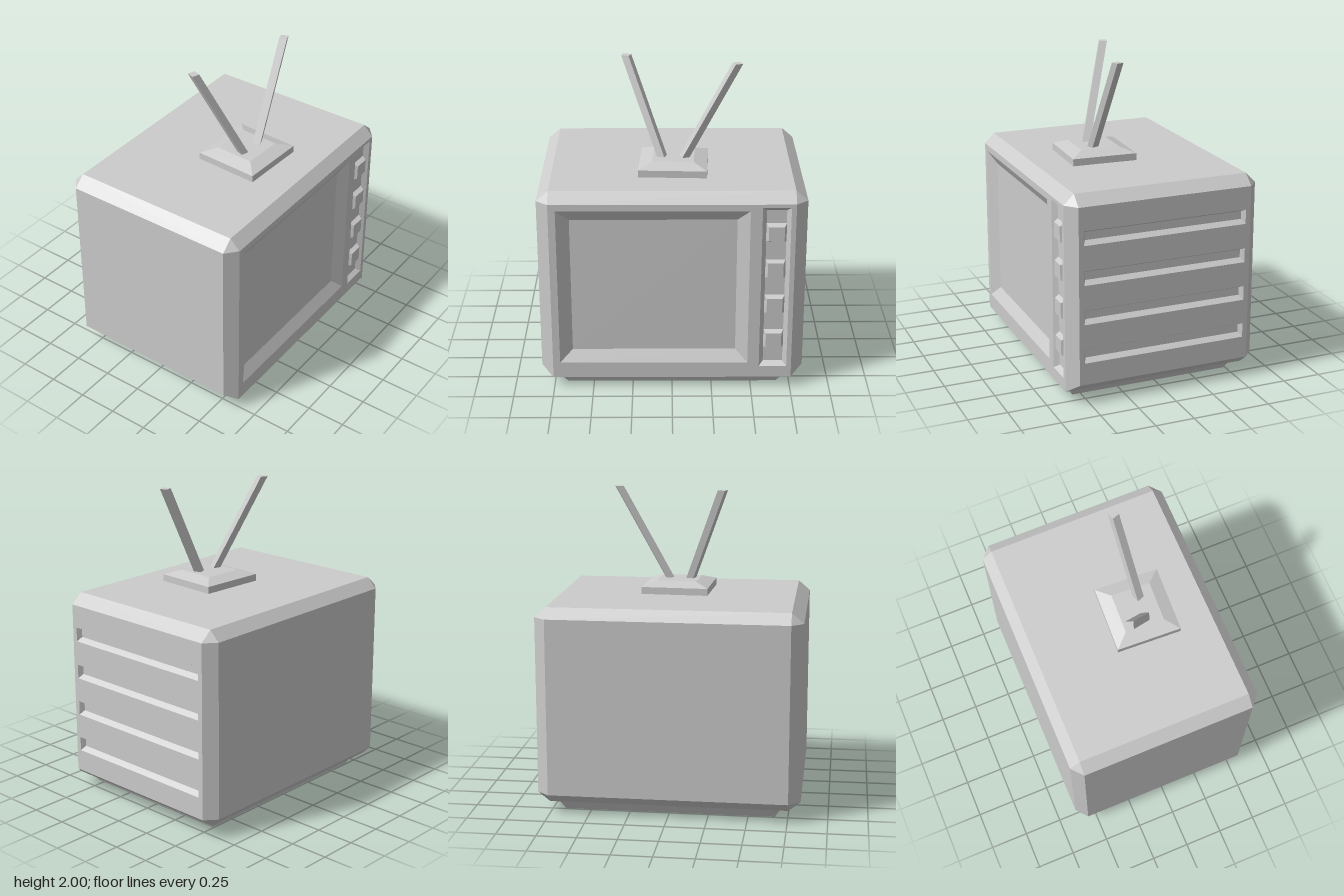
import * as THREE from 'three';
import { ConvexGeometry } from 'three/addons/geometries/ConvexGeometry.js';

const grey = new THREE.MeshStandardMaterial({ color: 0xcccccc, flatShading: true });

function mesh(name, geometry) {
  const m = new THREE.Mesh(geometry, grey);
  m.name = name;
  return m;
}

// Rectangle loop in the xy plane at depth z, counterclockwise seen from +z
function rect(x0, x1, y0, y1, z = 0) {
  return [[x0, y0, z], [x1, y0, z], [x1, y1, z], [x0, y1, z]];
}

// Skin four-cornered loops; the last loop is capped, the first one optionally
function loft(loops, closeStart = false) {
  const pos = [];
  const quad = (a, b, c, d) => pos.push(...a, ...b, ...c, ...a, ...c, ...d);
  for (let k = 0; k < loops.length - 1; k++) {
    const a = loops[k], b = loops[k + 1];
    for (let i = 0; i < 4; i++) {
      const j = (i + 1) % 4;
      quad(a[i], a[j], b[j], b[i]);
    }
  }
  quad(...loops[loops.length - 1]);
  if (closeStart) quad(...[...loops[0]].reverse());
  const g = new THREE.BufferGeometry();
  g.setAttribute('position', new THREE.Float32BufferAttribute(pos, 3));
  g.computeVertexNormals();
  return g;
}

// Flat panel with rectangular openings
function panel(outer, holes) {
  const points = (loop) => loop.map(([x, y]) => new THREE.Vector2(x, y));
  const shape = new THREE.Shape(points(outer));
  for (const h of holes) shape.holes.push(new THREE.Path(points(h).reverse()));
  return new THREE.ShapeGeometry(shape);
}

// Cabinet: chamfered box (front bottom edge left sharp) without its front and right faces
const X = 0.83, XI = 0.755, Y0 = 0.07, Y0I = 0.13, Y1 = 1.325, Y1I = 1.26, Z = 0.63, ZI = 0.565;

function cabinetShell() {
  const pts = [];
  for (const s of [-1, 1]) {
    for (const f of [-1, 1]) {
      pts.push([s * X, Y0I, f * ZI], [s * X, Y1I, f * ZI]);
      pts.push([s * XI, Y1I, f * Z], [s * XI, Y1, f * ZI]);
    }
    pts.push([s * XI, Y0, Z], [s * XI, Y0, -ZI], [s * XI, Y0I, -Z]);
  }
  const p = new ConvexGeometry(pts.map((v) => new THREE.Vector3(...v))).getAttribute('position');
  const kept = [];
  for (let i = 0; i < p.count; i += 3) {
    const tri = [i, i + 1, i + 2];
    if (tri.every((k) => p.getZ(k) > Z - 1e-4) || tri.every((k) => p.getX(k) > X - 1e-4)) continue;
    for (const k of tri) kept.push(p.getX(k), p.getY(k), p.getZ(k));
  }
  const g = new THREE.BufferGeometry();
  g.setAttribute('position', new THREE.Float32BufferAttribute(kept, 3));
  g.computeVertexNormals();
  return g;
}

function createModel() {
  const model = new THREE.Group();
  model.name = 'television';
  model.add(mesh('cabinet', cabinetShell()));

  // Front: panel, sunken screen, control strip and buttons
  const front = new THREE.Group();
  front.name = 'front';
  front.position.z = Z;
  const screen = rect(-0.71, 0.477, 0.175, 1.217);
  const strip = rect(0.55, 0.725, 0.148, 1.238);
  front.add(mesh('frontPanel', panel(rect(-XI, XI, Y0, Y1I), [screen, strip])));
  front.add(mesh('screen', loft([screen, rect(-0.63, 0.4, 0.25, 1.143, -0.045)])));
  front.add(mesh('controlStrip', loft([strip, rect(0.577, 0.7, 0.173, 1.213, -0.03)])));
  for (let i = 0; i < 4; i++) {
    const y = 1.063 - i * 0.243;
    front.add(mesh('button', loft([
      rect(0.575, 0.702, y - 0.062, y + 0.062, -0.03),
      rect(0.59, 0.687, y - 0.048, y + 0.048, 0),
    ])));
  }
  model.add(front);

  // Right side: panel with four sunken vents
  const side = new THREE.Group();
  side.name = 'ventSide';
  side.position.x = X;
  side.rotation.y = Math.PI / 2;
  const vents = [0, 1, 2, 3].map((i) => {
    const y = 1.067 - i * 0.25;
    return [
      rect(-0.533, 0.533, y - 0.046, y + 0.046),
      rect(-0.515, 0.515, y - 0.02, y + 0.031, -0.03),
    ];
  });
  side.add(mesh('sidePanel', panel(rect(-ZI, ZI, Y0I, Y1I), vents.map((v) => v[0]))));
  for (const v of vents) side.add(mesh('vent', loft(v)));
  model.add(side);

  // Upright parts are lofted along z, then stood up so that local y becomes -z
  const upright = (name, loops) => {
    const m = mesh(name, loft(loops, true).rotateX(-Math.PI / 2));
    model.add(m);
    return m;
  };

  upright('foot', [rect(-0.668, 0.668, -0.555, 0.49, 0), rect(-0.71, 0.71, -0.59, 0.525, Y0)]);

  // Antenna stand, turned slightly
  const stand = upright('antennaStand', [
    rect(-0.215, 0.215, -0.21, 0.21, 0),
    rect(-0.215, 0.215, -0.21, 0.21, 0.045),
    rect(-0.13, 0.13, -0.127, 0.127, 0.075),
  ]);
  stand.position.set(0.013, Y1, 0.142);
  stand.rotation.y = -0.045;

  // Antenna rods: slanted bars with level square ends
  const square = (x, y, z, turn) => [0, 1, 2, 3].map((i) => {
    const a = turn + Math.PI * (i / 2 + 0.25);
    return [x + 0.035 * Math.cos(a), -z + 0.035 * Math.sin(a), y];
  });
  upright('antennaRight', [square(-0.06, 1.395, 0.165, -0.33), square(-0.285, 2, -0.045, -0.33)]);
  upright('antennaLeft', [square(0.078, 1.395, 0.175, 0.35), square(0.408, 2, 0.142, 0.35)]);

  return model;
}

export { createModel };
